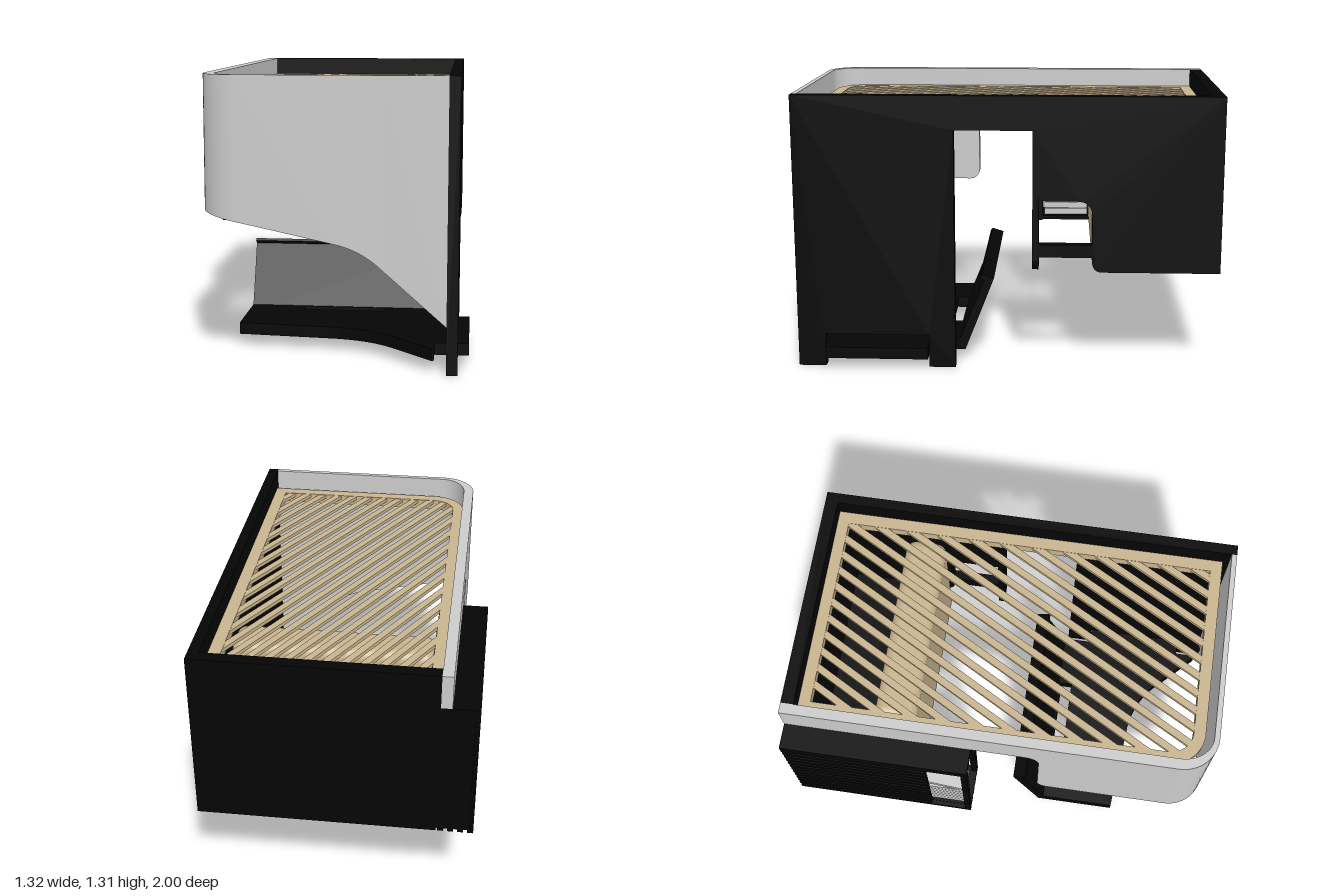
import * as THREE from 'three';
import { toCreasedNormals } from 'three/addons/utils/BufferGeometryUtils.js';
import { RoundedBoxGeometry } from 'three/addons/geometries/RoundedBoxGeometry.js';

const mat = (color) => new THREE.MeshStandardMaterial({ color });
const grey = mat(0xcccccc), black = mat(0x050505), sand = mat(0xc8b48f);

export function createModel() {
  const model = new THREE.Group();
  const add = (name, geo, material = black) => {
    const m = new THREE.Mesh(geo, material);
    m.name = name;
    model.add(m);
    return m;
  };
  // box from its minimum and maximum limits
  const box = (name, x0, x1, y0, y1, z0, z1, material) => {
    const m = add(name, new THREE.BoxGeometry(x1 - x0, y1 - y0, z1 - z0), material);
    m.position.set((x0 + x1) / 2, (y0 + y1) / 2, (z0 + z1) / 2);
    return m;
  };
  const extrude = (shape, depth) =>
    new THREE.ExtrudeGeometry(shape, { depth, bevelEnabled: false, curveSegments: 12 });
  // side profile drawn in (-z, y), extruded from x0 to x1
  const side = (shape, x0, x1) => extrude(shape, x1 - x0).rotateY(Math.PI / 2).translate(x0, 0, 0);
  // plan drawn in (x, -z), extruded from y0 to y1
  const plan = (shape, y0, y1) => extrude(shape, y1 - y0).rotateX(-Math.PI / 2).translate(0, y0, 0);
  const v2 = (x, y) => new THREE.Vector2(x, y);
  const poly = (pts) => new THREE.Shape(pts.map(([a, b]) => v2(a, b)));

  // long side wall with foot notch, doorway and rounded window
  const w = new THREE.Shape();
  w.moveTo(-1, 0).lineTo(-0.87, 0).lineTo(-0.87, 0.16).lineTo(-0.37, 0.16).lineTo(-0.37, 0)
    .lineTo(-0.245, 0).lineTo(-0.245, 1.15).lineTo(0.12, 1.15).lineTo(0.12, 0.84).lineTo(0.15, 0.84)
    .quadraticCurveTo(0.155, 0.82, 0.19, 0.82).lineTo(0.33, 0.82).quadraticCurveTo(0.4, 0.82, 0.4, 0.74)
    .lineTo(0.4, 0.54).quadraticCurveTo(0.4, 0.48, 0.45, 0.48)
    .lineTo(1, 0.48).lineTo(1, 1.31).lineTo(-1, 1.31);
  add('sideWall', side(w, 0.555, 0.605));

  // door post with rounded foot, and the rail across the window
  const post = new THREE.Shape();
  post.moveTo(0.5, 1.16).lineTo(0.5, 0.5325).absarc(0.5525, 0.5325, 0.0525, Math.PI, Math.PI * 2).lineTo(0.605, 1.16);
  add('doorPost', extrude(post, 0.03).translate(0, 0, -0.15));
  box('windowRail', 0.555, 0.604, 0.55, 0.61, -0.42, -0.14);

  // rear enclosure
  box('backWall', -0.49, 0.6, 0.48, 1.31, -1, -0.94);
  box('rearFloor', -0.435, 0.56, 0.478, 0.5, -0.95, -0.45);
  box('innerPartition', -0.46, -0.435, 0.48, 1.15, -1, -0.41);
  const panel = add('roundedPanel', new RoundedBoxGeometry(0.935, 0.67, 0.2, 5, 0.05), sand);
  panel.position.set(0.0325, 0.815, -0.5);

  // curved shell: stations of outer point, inner point and lower edge height
  const edge = new THREE.CurvePath();
  edge.add(new THREE.LineCurve(v2(0.555, 0.215), v2(0.27, 0.465)));
  edge.add(new THREE.QuadraticBezierCurve(v2(0.27, 0.465), v2(0.18, 0.55), v2(0.06, 0.575)));
  edge.add(new THREE.LineCurve(v2(0.06, 0.575), v2(-0.37, 0.666)));
  const st = edge.getPoints(10).map((p) => [p.x, 1, p.x, 0.975, p.y]);
  for (let i = 1; i <= 16; i++) {
    const a = (i / 16) * Math.PI / 2, s = Math.sin(a), c = Math.cos(a);
    st.push([-0.37 - 0.17 * s, 0.83 + 0.17 * c, -0.37 - 0.12 * s, 0.83 + 0.145 * c, 0.666 + 0.034 * s]);
  }
  const sideStation = (z, y) => st.push([-0.54, z, -0.49, z, y]);
  for (let i = 0; i <= 8; i++) {
    const a = (i / 8) * Math.PI / 2;
    sideStation(0.25 - 0.05 * Math.sin(a), 0.75 - 0.05 * Math.cos(a));
  }
  for (let i = 0; i <= 8; i++) {
    const a = (i / 8) * Math.PI / 2;
    sideStation(0.13 + 0.07 * Math.cos(a), 1.08 + 0.07 * Math.sin(a));
  }
  sideStation(-1, 1.15);
  const pos = [];
  const quad = (a, b, c, d) => [a, b, c, a, c, d].forEach((p) => pos.push(...p));
  const ring = ([ox, oz, ix, iz, y]) => [[ox, y, oz], [ox, 1.31, oz], [ix, 1.31, iz], [ix, y, iz]];
  for (let i = 0; i < st.length - 1; i++) {
    const p = ring(st[i]), q = ring(st[i + 1]);
    for (let k = 0; k < 4; k++) quad(p[k], p[(k + 1) % 4], q[(k + 1) % 4], q[k]);
  }
  quad(...ring(st[0]).reverse());
  quad(...ring(st[st.length - 1]));
  const shell = new THREE.BufferGeometry();
  shell.setAttribute('position', new THREE.Float32BufferAttribute(pos, 3));
  add('curvedShell', toCreasedNormals(shell, 0.6), grey);

  // roof frame with one rounded corner
  const roofOutline = (P, x0, x1, z0, z1, r) => {
    const s = new P();
    s.moveTo(x1, -z1).lineTo(x1, -z0).lineTo(x0, -z0).lineTo(x0, -z1 + r);
    s.absarc(x0 + r, -z1 + r, r, Math.PI, Math.PI * 1.5).lineTo(x1, -z1);
    return s;
  };
  const frame = roofOutline(THREE.Shape, -0.49, 0.555, -0.94, 0.945, 0.16);
  frame.holes.push(roofOutline(THREE.Path, -0.437, 0.497, -0.885, 0.89, 0.11));
  add('roofFrame', plan(frame, 1.17, 1.22), sand);

  // thin diagonal roof slats whose ends run into the frame
  const slope = 1.82, half = 0.0195;
  for (let c = -0.92; c < 1; c += 0.085) {
    // c is the x where the slat crosses z = 0; drawn in (x, -z)
    const lo = Math.max(-0.895, (-0.437 - c - half) * slope);
    const hi = Math.min(0.895, (0.497 - c + half) * slope);
    if (hi - lo < 0.08) continue;
    const x0 = c + lo / slope, x1 = c + hi / slope;
    add('roofSlat', plan(poly([[x0 - half, lo], [x0 + half, lo], [x1 + half, hi], [x1 - half, hi]]), 1.2, 1.218), sand);
  }

  // bench seat with slot and a tab that passes through the wall
  const seat = new THREE.Shape();
  seat.moveTo(-0.435, -0.21).lineTo(-0.435, -0.6).lineTo(0.02, -0.64)
    .quadraticCurveTo(0.19, -0.66, 0.3, -0.77).lineTo(0.49, -0.965).lineTo(0.5, -0.965).lineTo(0.5, -0.865)
    .lineTo(0.655, -0.865).lineTo(0.655, -0.372).lineTo(0.5, -0.372).lineTo(0.5, -0.21);
  seat.holes.push(new THREE.Path([v2(-0.17, -0.24), v2(0.23, -0.24), v2(0.23, -0.3), v2(-0.17, -0.3)]));
  add('benchSeat', plan(seat, 0.055, 0.11));
  add('benchBack', side(poly([[-0.245, 0.055], [-0.205, 0.055], [-0.066, 0.413],
    [-0.125, 0.432], [-0.135, 0.422], [-0.112, 0.405], [-0.245, 0.075]]), -0.435, 0.5));

  // slatted side cabinet
  box('cabinetTop', -0.66, -0.43, 1.1, 1.15, -1, -0.12);
  box('cabinetBack', -0.64, -0.43, 0.5, 1.15, -1, -0.97);
  box('cabinetDivider', -0.64, -0.43, 0.82, 1.15, -0.43, -0.4);
  box('cabinetSide', -0.64, -0.625, 0.5, 1.15, -1, -0.4);
  box('cabinetFloor', -0.64, -0.43, 0.495, 0.505, -1, -0.12);
  box('cabinetOuterPost', -0.66, -0.63, 0.49, 1.15, -0.15, -0.12);
  box('cabinetInnerPost', -0.46, -0.43, 0.48, 1.15, -0.15, -0.12);
  for (let i = 0; i < 13; i++) {
    const y = 0.485 + i * 0.05;
    box('cabinetSideSlat', -0.66, -0.635, y, y + 0.03, -1, -0.32);
  }
  for (let i = 0; i < 5; i++) {
    const x = -0.66 + i * 0.045;
    box('cabinetFloorSlat', x, x + 0.027, 0.48, 0.5, -1, -0.12);
  }

  // stack of boards with a tilted one on top
  for (let i = 0; i < 6; i++) {
    const y = 0.506 + i * 0.036;
    box('stackedBoard', -0.625, -0.47, y, y + 0.032, -0.395, -0.16, grey);
  }
  const tilted = box('tiltedBoard', -0.625, -0.47, 0.75, 0.775, -0.39, -0.16, grey);
  tilted.rotation.x = 0.27;
  return model;
}
